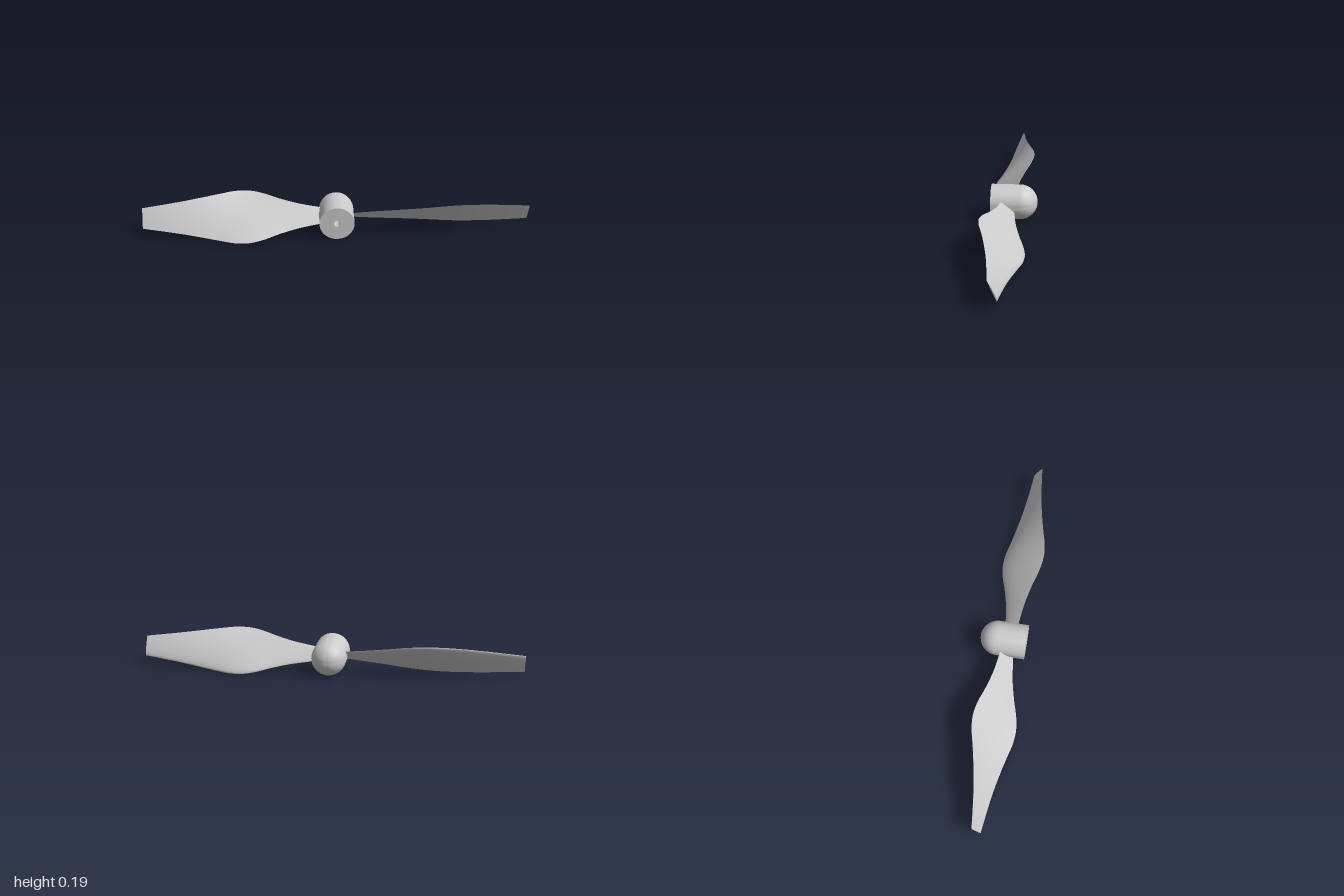
import * as THREE from 'three';
import { toCreasedNormals } from 'three/addons/utils/BufferGeometryUtils.js';

const AXIS_Y = 0.0975;
const material = new THREE.MeshStandardMaterial({ color: 0xcccccc });

// Blade stations: distance from the axis, half height, half depth of the chord
const stations = [
  [0.05, 0.024, 0.03], [0.09, 0.031, 0.035], [0.2, 0.047, 0.05], [0.3, 0.066, 0.074],
  [0.38, 0.084, 0.098], [0.45, 0.0945, 0.109], [0.52, 0.097, 0.104], [0.6, 0.092, 0.085],
  [0.7, 0.082, 0.063], [0.8, 0.071, 0.045], [0.9, 0.06, 0.032], [1, 0.049, 0.021],
];

// Twisted blade along +x: flat front face, arched back face, closed tip
function bladeGeometry() {
  const curve = new THREE.CatmullRomCurve3(stations.map((s) => new THREE.Vector3(...s)));
  const ROWS = 60, COLS = 20, W = COLS + 1;
  const positions = [], index = [];
  for (const arch of [0, 0.14]) {
    for (let i = 0; i <= ROWS; i++) {
      const { x, y: hy, z: hz } = curve.getPoint(i / ROWS);
      for (let j = 0; j <= COLS; j++) {
        const s = (1 - Math.cos((Math.PI * j) / COLS)) / 2;
        const h = 2 * arch * Math.sqrt(s) * (1 - s); // rounded leading edge, thin trailing edge
        positions.push(x, hy * (2 * s - 1) + hz * h, 0.02 + hz * (2 * s - 1) - hy * h);
      }
    }
  }
  const back = (ROWS + 1) * W;
  const quad = (a, b, c, d) => index.push(a, b, c, a, c, d);
  for (let j = 0; j < COLS; j++) {
    for (let i = 0; i < ROWS; i++) {
      const a = i * W + j, b = a + W;
      quad(a, b, b + 1, a + 1);
      quad(back + a, back + a + 1, back + b + 1, back + b);
    }
    const t = ROWS * W + j;
    quad(t, back + t, back + t + 1, t + 1);
  }
  const geometry = new THREE.BufferGeometry();
  geometry.setAttribute('position', new THREE.Float32BufferAttribute(positions, 3));
  geometry.setIndex(index);
  return toCreasedNormals(geometry, 0.7);
}

// Round hub with a domed back and a shaft bore in the flat front
function hubGeometry() {
  const r = 0.09, profile = [];
  for (let i = 0; i <= 16; i++) {
    const a = (i / 16) * (Math.PI / 2);
    profile.push(new THREE.Vector2(r * Math.sin(a), -0.04 - r * Math.cos(a)));
  }
  profile[0].x = 0;
  for (const p of [[r, 0.11], [0.016, 0.11], [0.016, -0.03], [0, -0.03]]) {
    profile.push(new THREE.Vector2(...p));
  }
  return toCreasedNormals(new THREE.LatheGeometry(profile, 64).rotateX(Math.PI / 2), 0.6);
}

export function createModel() {
  const propeller = new THREE.Group();
  propeller.name = 'propeller';

  const hub = new THREE.Mesh(hubGeometry(), material);
  hub.name = 'hub';
  hub.position.y = AXIS_Y;
  propeller.add(hub);

  // Two blades, half a turn apart
  const geometry = bladeGeometry();
  ['leftBlade', 'rightBlade'].forEach((name, i) => {
    const blade = new THREE.Mesh(geometry, material);
    blade.name = name;
    blade.position.y = AXIS_Y;
    blade.rotation.z = i * Math.PI;
    propeller.add(blade);
  });
  return propeller;
}
